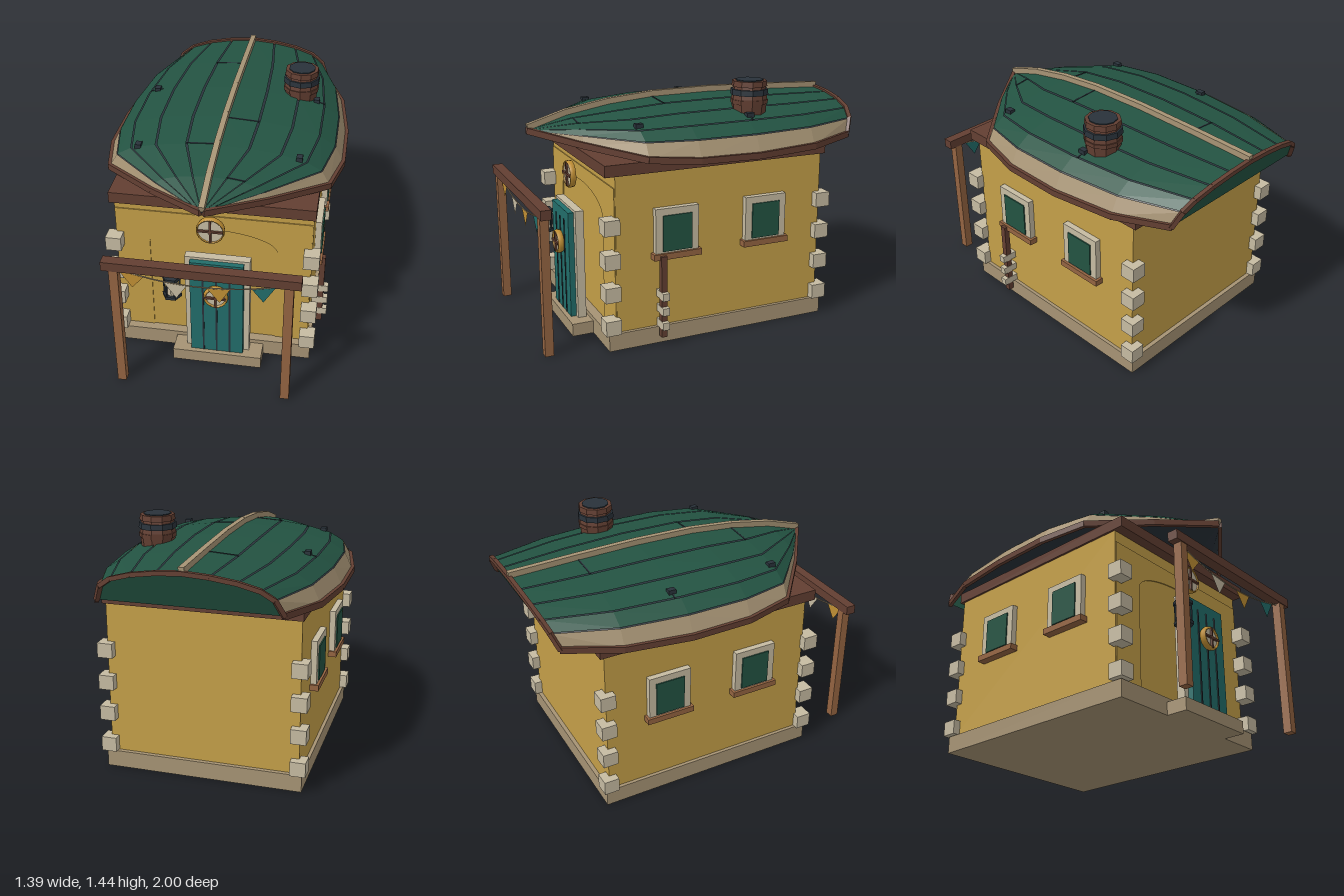
import * as THREE from 'three';

const mat = (name, color, side = THREE.FrontSide) => {
  const m = new THREE.MeshStandardMaterial({ color, side });
  m.name = name;
  return m;
};

export function createModel() {
  const root = new THREE.Group();
  const D = THREE.DoubleSide;
  const M = {
    plaster: mat('ochre plaster', 0xc49f48),
    green: mat('hull green', 0x235342, D),
    teal: mat('door teal', 0x226d6a, D),
    stone: mat('pale stone', 0xc6bba2, D),
    tan: mat('weathered tan', 0xa69374, D),
    dark: mat('dark wood', 0x633f32),
    wood: mat('brown wood', 0x946441),
    slate: mat('dark iron', 0x29323a, D),
    brass: mat('brass', 0xc08f34, D),
  };

  const add = (name, geo, material, parent = root) => {
    const m = new THREE.Mesh(geo, material);
    m.name = name;
    parent.add(m);
    return m;
  };
  // Box given by its extents
  const box = (name, material, x0, x1, y0, y1, z0, z1, parent) => {
    const m = add(name, new THREE.BoxGeometry(x1 - x0, y1 - y0, z1 - z0), material, parent);
    m.position.set((x0 + x1) / 2, (y0 + y1) / 2, (z0 + z1) / 2);
    return m;
  };
  // Square timber between two points
  const beam = (name, material, a, b, w, h, parent) => {
    const m = add(name, new THREE.BoxGeometry(w, h, a.distanceTo(b) + Math.min(w, h) * 0.3), material, parent);
    m.position.copy(a).add(b).multiplyScalar(0.5);
    m.lookAt(b);
    return m;
  };
  const cyl = (name, material, rTop, rBottom, y0, y1, sides, x, z, parent) => {
    const geo = new THREE.CylinderGeometry(rTop, rBottom, y1 - y0, sides).toNonIndexed();
    geo.computeVertexNormals();
    const m = add(name, geo, material, parent);
    m.position.set(x, (y0 + y1) / 2, z);
    return m;
  };

  // House body
  box('foundation', M.tan, -0.58, 0.58, 0, 0.1, -0.715, 0.65);
  box('doorStep', M.tan, -0.215, 0.305, 0, 0.075, 0.65, 0.775);
  box('walls', M.plaster, -0.56, 0.56, 0.1, 1, -0.69, 0.595);
  box('wallPlate', M.dark, -0.572, 0.572, 1, 1.065, -0.715, 0.655);

  // Thin plaster surround with an arched opening
  const surround = new THREE.Shape();
  surround.moveTo(-0.555, 0.1);
  surround.lineTo(-0.365, 0.1);
  surround.lineTo(-0.365, 0.72);
  surround.absellipse(0, 0.72, 0.365, 0.12, Math.PI, 0, true);
  surround.lineTo(0.365, 0.1);
  surround.lineTo(0.555, 0.1);
  surround.lineTo(0.555, 0.93);
  surround.lineTo(-0.555, 0.93);
  add('archSurround', new THREE.ExtrudeGeometry(surround, { depth: 0.006, bevelEnabled: false }), M.plaster)
    .position.z = 0.595;

  // Corner stones
  for (const x of [-0.56, 0.56]) for (const z of [0.63, -0.692])
    for (const y of [0.147, 0.343, 0.533, 0.727])
      box('cornerStone', M.stone, x - 0.045, x + 0.045, y - 0.043, y + 0.043, z - 0.045, z + 0.045);

  // Side windows
  for (const s of [-1, 1]) for (const z of [0.245, -0.312]) {
    const w = new THREE.Group();
    w.name = 'sideWindow';
    w.position.set(s * 0.56, 0, z);
    root.add(w);
    box('windowFrame', M.stone, -0.035, 0.035, 0.53, 0.797, -0.13, 0.13, w);
    box('windowPane', M.green, -0.042, 0.042, 0.55, 0.757, -0.088, 0.088, w);
    box('windowSill', M.wood, -0.05, 0.05, 0.505, 0.54, -0.145, 0.145, w);
  }

  // Side pole with clamps
  box('sidePole', M.dark, 0.594, 0.628, 0.05, 0.53, 0.32, 0.355);
  for (const y of [0.125, 0.212, 0.3])
    box('poleClamp', M.stone, 0.555, 0.655, y - 0.022, y + 0.022, 0.318, 0.357);

  // Door
  const frame = new THREE.Shape();
  frame.moveTo(-0.142, 0.075);
  frame.lineTo(0.228, 0.075);
  frame.lineTo(0.228, 0.725);
  frame.lineTo(-0.142, 0.725);
  add('doorFrame', new THREE.ExtrudeGeometry(frame, { depth: 0.05, bevelEnabled: false }), M.stone)
    .position.z = 0.665;
  box('door', M.teal, -0.11, 0.195, 0.075, 0.71, 0.712, 0.748);
  for (const x of [-0.035, 0.042, 0.118])
    box('doorGroove', M.slate, x - 0.005, x + 0.005, 0.078, 0.655, 0.747, 0.752);

  // Round windows
  const porthole = (x, y, z, r, rim) => {
    const g = new THREE.Group();
    g.name = 'roundWindow';
    g.position.set(x, y, z);
    root.add(g);
    const pane = add('roundPane', new THREE.CylinderGeometry(r * 0.92, r * 0.92, 0.02, 20), M.stone, g);
    pane.rotation.x = Math.PI / 2;
    add('roundRim', new THREE.TorusGeometry(r - rim, rim, 6, 20), M.brass, g).scale.z = 0.02 / rim;
    box('crossBar', M.dark, -r * 0.88, r * 0.88, -0.006, 0.006, 0.008, 0.022, g);
    box('crossPost', M.dark, -0.006, 0.006, -r * 0.88, r * 0.88, 0.008, 0.022, g);
  };
  porthole(0.042, 0.498, 0.765, 0.071, 0.01);
  porthole(0, 0.887, 0.67, 0.081, 0.006);

  // Lantern
  const lantern = new THREE.Group();
  lantern.name = 'lantern';
  lantern.position.set(-0.205, 0, 0.775);
  root.add(lantern);
  cyl('lanternBase', M.slate, 0.055, 0.055, 0.488, 0.507, 6, 0, 0, lantern).rotation.y = Math.PI / 6;
  cyl('lanternCap', M.slate, 0.055, 0.055, 0.61, 0.63, 6, 0, 0, lantern).rotation.y = Math.PI / 6;
  cyl('lanternGlass', M.stone, 0.036, 0.036, 0.507, 0.61, 6, 0, 0, lantern);
  for (let i = 0; i < 6; i++) {
    const a = (i * Math.PI) / 3;
    cyl('lanternBar', M.slate, 0.006, 0.006, 0.5, 0.62, 5, 0.044 * Math.cos(a), 0.044 * Math.sin(a), lantern);
  }

  // Porch frame and bunting
  for (const x of [-0.47, 0.47]) box('porchPost', M.wood, x - 0.025, x + 0.025, 0, 0.8, 0.945, 0.995);
  box('porchBeam', M.dark, -0.535, 0.535, 0.797, 0.852, 0.94, 1);
  const sag = (x) => 0.728 + 0.064 * (x / 0.45) ** 2;
  const line = [-0.45, -0.225, 0, 0.225, 0.45].map((x) => new THREE.Vector3(x, sag(x), 0.97));
  add('buntingLine', new THREE.TubeGeometry(new THREE.CatmullRomCurve3(line), 20, 0.004, 5), M.tan);
  for (const [x0, x1, ax, ay, m] of [
    [-0.45, -0.31, -0.375, 0.68, M.brass], [-0.205, -0.075, -0.135, 0.637, M.stone],
    [0.03, 0.16, 0.1, 0.635, M.brass], [0.272, 0.4, 0.335, 0.67, M.teal],
  ]) {
    const flag = new THREE.Shape([[x0, sag(x0)], [ax, ay], [x1, sag(x1)]].map((p) => new THREE.Vector2(...p)));
    add('buntingFlag', new THREE.ShapeGeometry(flag), m).position.z = 0.97;
  }

  // Upturned hull roof; stations: z, half width, gunwale y, ridge y, rake
  const stations = [
    [-0.905, 0.51, 1.085, 1.29, -0.085], [-0.6, 0.635, 1.068, 1.305, 0], [-0.22, 0.682, 1.06, 1.315, 0],
    [0.14, 0.682, 1.066, 1.31, 0], [0.42, 0.622, 1.085, 1.285, 0], [0.68, 0.32, 1.125, 1.24, 0],
    [0.905, 0.01, 1.165, 1.172, 0],
  ];
  const profile = [[0, 1], [0.28, 0.95], [0.56, 0.84], [0.79, 0.67], [0.925, 0.43], [1, 0]];
  const mix = (list, t) => {
    const i = Math.min(Math.floor(t), list.length - 2);
    return list[i].map((v, k) => v + (list[i + 1][k] - v) * (t - i));
  };
  const hull = (s, t, side, drop = 0) => {
    const [z, w, yg, yr, rake] = mix(stations, s);
    const [fx, fy] = mix(profile, t);
    return new THREE.Vector3(side * fx * w * (1 - drop), yg + (yr - yg) * fy - drop, z + rake * fy);
  };
  const roof = new THREE.Group();
  roof.name = 'hullRoof';
  root.add(roof);
  const strip = (t0, t1, side, drop) => {
    const pts = [];
    for (let s = 0; s < stations.length - 1; s++) {
      const [a, b, c, d] = [[s, t0], [s + 1, t0], [s + 1, t1], [s, t1]].map(([u, t]) => hull(u, t, side, drop));
      pts.push(...(side > 0 ? [a, b, c, a, c, d] : [a, c, b, a, d, c]));
    }
    const geo = new THREE.BufferGeometry().setFromPoints(pts);
    geo.computeVertexNormals();
    return geo;
  };
  const last = stations.length - 1;
  for (const side of [-1, 1]) {
    // Planks with dark seams showing the lining beneath
    for (let j = 0; j < 5; j++) {
      add(j < 4 ? 'hullPlank' : 'sheerPlank', strip(j + 0.03, j + 0.97, side, 0), j < 4 ? M.green : M.tan, roof);
      add('hullLining', strip(j, j + 1, side, 0.008), M.slate, roof);
      beam('sternRim', M.dark, hull(0, j, side), hull(0, j + 1, side), 0.025, 0.025, roof);
    }
    for (let s = 0; s < last; s++)
      beam('gunwale', M.dark, hull(s, 5, side), hull(s + 1, 5, side), 0.022, 0.036, roof);
    // Iron cleats
    for (const s of [1.92, 3.97]) {
      const c = hull(s, 2.7, side);
      box('cleat', M.slate, c.x - 0.017, c.x + 0.017, c.y - 0.01, c.y + 0.02, c.z - 0.022, c.z + 0.022, roof);
    }
  }
  // Plank butt joints
  for (const [s, t, side] of [[1.04, 0, -1], [3.03, 0, 1], [1.92, 2.5, -1], [1.92, 2.5, 1], [3.97, 0, -1], [4.95, 1, 1]])
    beam('plankJoint', M.slate, hull(s, t, side), hull(s, t + (t === 2.5 ? 0.5 : 1), side), 0.008, 0.006, roof);
  // Keel
  const up = new THREE.Vector3(0, 0.015, 0);
  for (let s = 0; s < last; s++)
    beam('keel', M.tan, hull(s, 0, 1).add(up), hull(s + 1, 0, 1).add(up), 0.032, 0.036, roof);
  // Stern board
  const stern = [];
  for (const side of [-1, 1]) for (let j = 0; j < 5; j++)
    stern.push(new THREE.Vector3(0, stations[0][2], stations[0][0]), hull(0, j, side), hull(0, j + 1, side));
  const sternGeo = new THREE.BufferGeometry().setFromPoints(stern);
  sternGeo.computeVertexNormals();
  add('sternBoard', sternGeo, M.green, roof);

  // Barrel chimney
  const chimney = new THREE.Group();
  chimney.name = 'chimney';
  chimney.position.set(0.39, 0, -0.3);
  root.add(chimney);
  for (const [name, m, r0, r1, y0, y1] of [
    ['barrelLower', M.dark, 0.104, 0.092, 1.2, 1.33], ['barrelUpper', M.dark, 0.09, 0.104, 1.33, 1.43],
    ['ironBand', M.slate, 0.108, 0.11, 1.352, 1.385], ['lowerBand', M.dark, 0.109, 0.107, 1.3, 1.325],
    ['topBand', M.dark, 0.1, 0.103, 1.4, 1.432], ['chimneyMouth', M.slate, 0.08, 0.08, 1.42, 1.438],
  ]) cyl(name, m, r0, r1, y0, y1, 10, 0, 0, chimney);

  return root;
}
